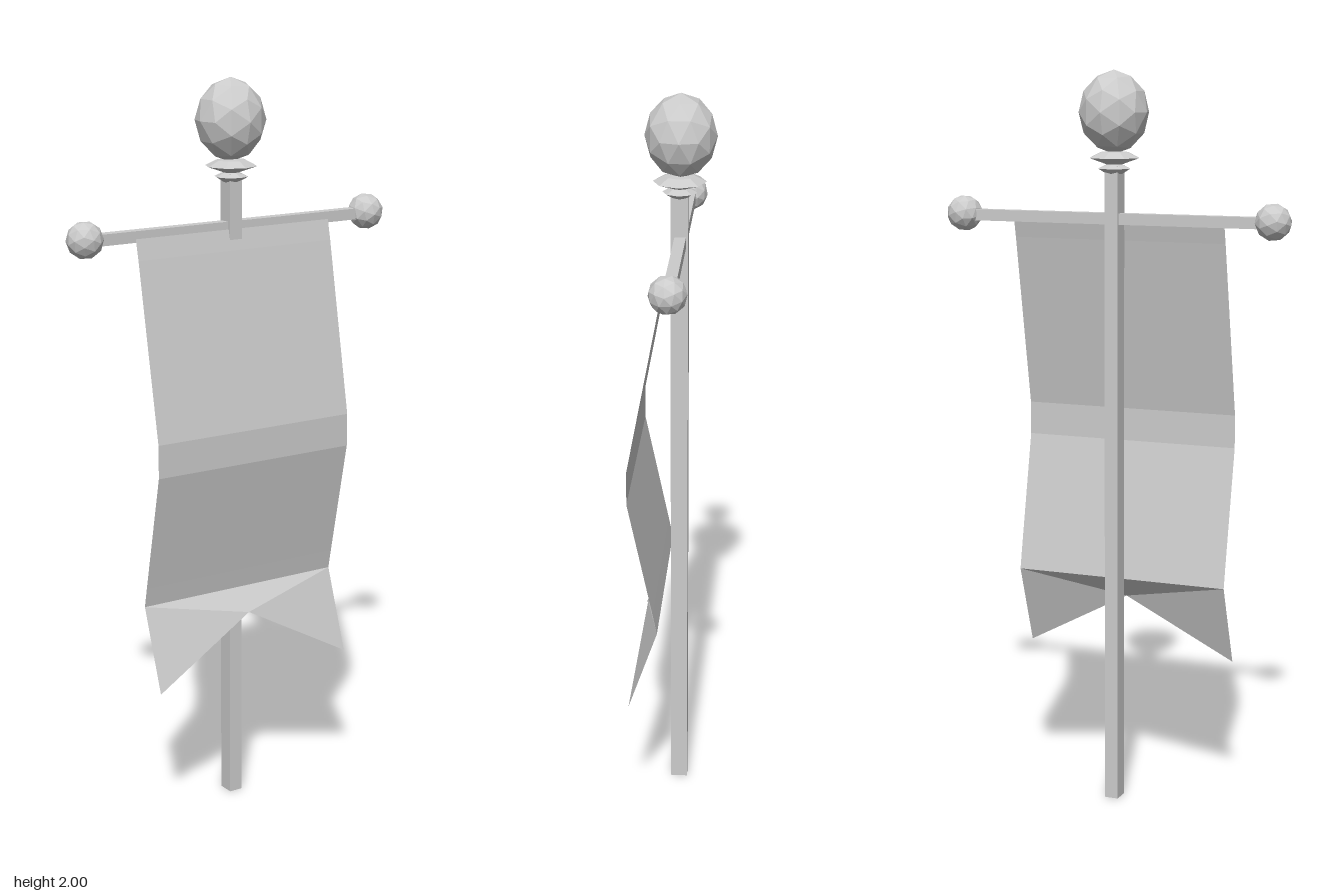
import * as THREE from 'three';

const material = new THREE.MeshStandardMaterial({ color: 0xcccccc, flatShading: true });
const clothMaterial = new THREE.MeshStandardMaterial({ color: 0xcccccc, flatShading: true, side: THREE.DoubleSide });
const AXIS_Z = -0.015;

export function createModel() {
  const group = new THREE.Group();
  const add = (name, geometry, x, y, z, mat = material) => {
    const mesh = new THREE.Mesh(geometry, mat);
    mesh.name = name;
    mesh.position.set(x, y, z);
    group.add(mesh);
    return mesh;
  };

  // Square pole and crossbar
  add('pole', new THREE.BoxGeometry(0.038, 1.75, 0.046), 0, 0.875, AXIS_Z);
  add('crossbar', new THREE.BoxGeometry(0.84, 0.03, 0.03), 0, 1.61, AXIS_Z - 0.002);

  // Faceted knobs on the ends of the crossbar
  for (const side of [-1, 1]) {
    const knob = add(side > 0 ? 'leftKnob' : 'rightKnob', new THREE.IcosahedronGeometry(0.049, 1), side * 0.444, 1.613, AXIS_Z);
    knob.rotation.set(0.3, side * 0.5, 0.2);
  }

  // Two sharp rings below the finial
  const collar = [[0, 1.728], [0.022, 1.728], [0.045, 1.742], [0.022, 1.753],
    [0.035, 1.758], [0.07, 1.77], [0.04, 1.785], [0, 1.79]];
  add('collar', new THREE.LatheGeometry(collar.map(([r, y]) => new THREE.Vector2(r, y)), 8), 0, 0, AXIS_Z);

  // Egg-shaped finial, slightly narrower at its foot
  const egg = new THREE.IcosahedronGeometry(1, 1);
  const p = egg.attributes.position;
  for (let i = 0; i < p.count; i++) {
    const y = p.getY(i);
    const r = 0.094 * (1 - 0.06 * y * y);
    p.setXYZ(i, p.getX(i) * r, y * 0.11, p.getZ(i) * r);
  }
  egg.computeVertexNormals();
  add('finial', egg, 0, 1.89, -0.018);

  // Hanging cloth: rows of [height, depth] at the edges and at the centre,
  // the last row forming the swallowtail notch
  const rows = [
    [1.605, 0.002], [1.55, 0.014], [1.08, 0.103], [0.99, 0.103], [0.67, 0.036], [0.615, 0.025],
    [0.39, 0.103, 0.555, 0.073],
  ];
  const points = [];
  const index = [];
  rows.forEach(([y, z, midY = y, midZ = z], i) => {
    points.push(-0.304, y, z, 0, midY, midZ, 0.304, y, z);
    if (i === 0) return;
    const a = 3 * (i - 1), b = 3 * i;
    // Diagonals mirrored about the centre line
    index.push(a, b, b + 1, a, b + 1, a + 1);
    index.push(a + 1, b + 1, a + 2, a + 2, b + 1, b + 2);
  });
  const cloth = new THREE.BufferGeometry();
  cloth.setAttribute('position', new THREE.Float32BufferAttribute(points, 3));
  cloth.setIndex(index);
  cloth.computeVertexNormals();
  add('banner', cloth, 0, 0, 0, clothMaterial);

  // Slight turn of the whole standard
  group.rotation.y = 0.008;
  return group;
}
